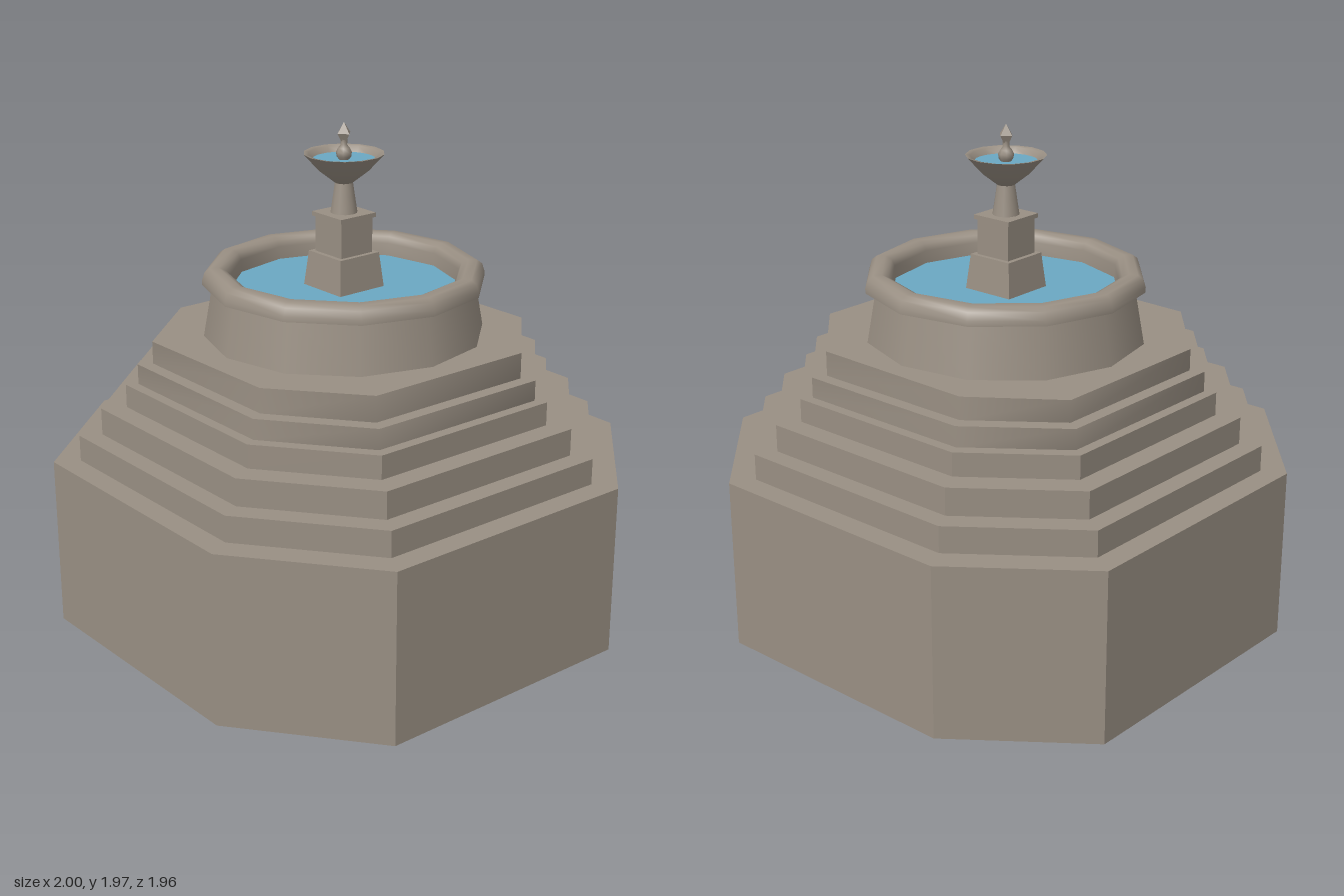
import * as THREE from 'three';

const stone = new THREE.MeshStandardMaterial({ color: 0x998f83, side: THREE.DoubleSide });
stone.name = 'stone';
const water = new THREE.MeshStandardMaterial({ color: 0x6ba8c2, side: THREE.DoubleSide });
water.name = 'water';

// Slightly uneven octagon of the lowest step, as [x, z]
const OUTLINE = [
  [-0.57, 0.975], [0.47, 0.975], [0.98, 0.575], [1.0, -0.51],
  [0.54, -0.98], [-0.5, -0.98], [-0.98, -0.615], [-1.0, 0.47],
];
const TWIST = THREE.MathUtils.degToRad(3.5);

function add(parent, name, geometry, material = stone) {
  const mesh = new THREE.Mesh(geometry, material);
  mesh.name = name;
  parent.add(mesh);
  return mesh;
}

// Octagonal loop at a scale and height, with an optional tilt along x
const loop = (scale, y, tilt = 0) =>
  OUTLINE.map(([x, z]) => [x * scale, y + tilt * x * scale, z * scale]);

// Band of quads between two loops, smooth around or faceted
function band(a, b, smooth) {
  const n = a.length, index = [];
  for (let i = 0; i < n; i++) {
    const j = (i + 1) % n;
    index.push(i, j, n + j, i, n + j, n + i);
  }
  let g = new THREE.BufferGeometry();
  g.setAttribute('position', new THREE.Float32BufferAttribute([...a, ...b].flat(), 3));
  g.setIndex(index);
  if (!smooth) g = g.toNonIndexed();
  g.computeVertexNormals();
  return g;
}

function lathe(points, sides, start = 0) {
  return new THREE.LatheGeometry(points.map(([r, y]) => new THREE.Vector2(r, y)), sides, start);
}

function disc(radius, sides, y) {
  return new THREE.CircleGeometry(radius, sides, -TWIST).rotateX(-Math.PI / 2).translate(0, y, 0);
}

function box(width, bottom, top) {
  return new THREE.BoxGeometry(width, top - bottom, width).translate(0, (top + bottom) / 2, 0);
}

export function createModel() {
  const model = new THREE.Group();
  model.name = 'fountain';

  // Hollow stepped base: scale, bottom, top, smooth sides, tilt
  const base = new THREE.Group();
  base.name = 'steppedBase';
  model.add(base);
  const steps = [
    [1.0, 0, 0.68, false, 0],
    [0.908, 0.68, 0.783, false, 0],
    [0.83, 0.783, 0.89, false, 0],
    [0.743, 0.89, 0.982, false, 0],
    [0.7, 0.982, 1.062, true, 0],
    [0.648, 1.062, 1.155, true, 0.012],
  ];
  steps.forEach(([scale, bottom, top, smooth, tilt], i) => {
    const edge = loop(scale, top, tilt);
    add(base, 'stepRiser' + (i + 1), band(loop(scale, bottom), edge, smooth));
    const inner = i + 1 < steps.length ? steps[i + 1][0] : 0;
    add(base, 'stepTread' + (i + 1), band(edge, loop(inner, top, tilt), false));
  });

  // Twelve-sided basin with a rounded rim
  const basin = new THREE.Group();
  basin.name = 'basin';
  basin.position.set(0.003, 0, -0.012);
  model.add(basin);
  add(basin, 'basinWall', lathe([[0.545, 1.145], [0.507, 1.355]], 12, -TWIST));
  add(basin, 'rimUnderside', lathe([[0.507, 1.355], [0.545, 1.355]], 12, -TWIST));
  add(basin, 'basinRim', lathe([
    [0.545, 1.355], [0.545, 1.375], [0.535, 1.405], [0.515, 1.42], [0.48, 1.422],
    [0.455, 1.41], [0.443, 1.385], [0.44, 1.32],
  ], 12, -TWIST));
  add(basin, 'basinWater', disc(0.441, 12, 1.335), water);

  // Square pedestal
  const pedestal = new THREE.Group();
  pedestal.name = 'pedestal';
  pedestal.position.set(-0.003, 0, -0.014);
  model.add(pedestal);
  const plinth = box(0.19, 1.3, 1.47);
  const p = plinth.attributes.position;
  for (let i = 0; i < p.count; i++) {
    if (p.getY(i) < 1.4) p.setXYZ(i, p.getX(i) * 1.18, p.getY(i), p.getZ(i) * 1.18);
  }
  plinth.computeVertexNormals();
  add(pedestal, 'plinth', plinth);
  add(pedestal, 'pedestalBlock', box(0.153, 1.47, 1.61));
  add(pedestal, 'pedestalCap', box(0.172, 1.608, 1.625));
  add(pedestal, 'stem', lathe([[0.052, 1.625], [0.042, 1.69], [0.034, 1.745]], 12));

  // Upper bowl
  add(pedestal, 'bowlOutside', lathe([[0, 1.738], [0.034, 1.74], [0.095, 1.788], [0.154, 1.853]], 14));
  add(pedestal, 'bowlInside', lathe([[0.154, 1.853], [0.136, 1.85], [0.12, 1.825]], 14));
  add(pedestal, 'bowlWater', disc(0.123, 14, 1.829), water);

  // Finial
  add(pedestal, 'finialBall', lathe([
    [0.014, 1.82], [0.028, 1.84], [0.03, 1.857], [0.022, 1.872], [0.012, 1.885], [0.014, 1.905],
  ], 8));
  const tip = lathe([[0.012, 1.895], [0.031, 1.928], [0, 1.97]], 4).toNonIndexed();
  tip.computeVertexNormals();
  add(pedestal, 'finialTip', tip);

  return model;
}
